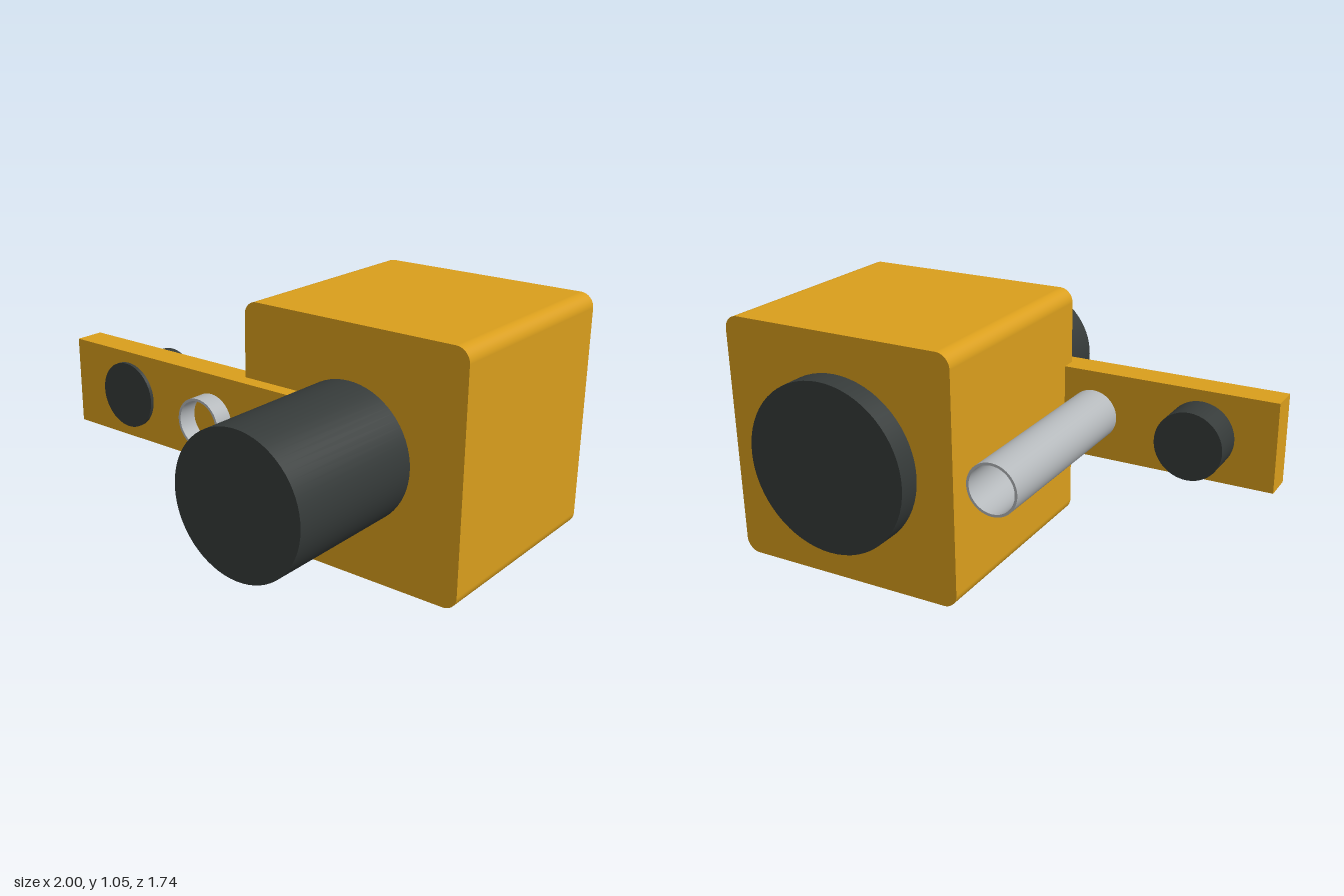
import * as THREE from 'three';

const yellow = new THREE.MeshStandardMaterial({ color: 0xd99e1c });
const dark = new THREE.MeshStandardMaterial({ color: 0x353a39 });
const metal = new THREE.MeshStandardMaterial({ color: 0xb4b8bb });
const AXIS_Y = 0.525; // shared height of all the round parts

function add(group, name, geometry, material, x, y, z) {
  const mesh = new THREE.Mesh(geometry, material);
  mesh.name = name;
  mesh.position.set(x, y, z);
  group.add(mesh);
}

// Solid cylinder along z, from z0 to z1
function addCylinder(group, name, radius, x, z0, z1) {
  const geometry = new THREE.CylinderGeometry(radius, radius, z1 - z0, 64).rotateX(Math.PI / 2);
  add(group, name, geometry, dark, x, AXIS_Y, (z0 + z1) / 2);
}

// Rectangle centred on the origin with rounded corners
function roundedSquare(w, h, r) {
  const s = new THREE.Shape();
  const x = w / 2 - r, y = h / 2 - r;
  s.absarc(x, y, r, 0, Math.PI / 2);
  s.absarc(-x, y, r, Math.PI / 2, Math.PI);
  s.absarc(-x, -y, r, Math.PI, Math.PI * 1.5);
  s.absarc(x, -y, r, Math.PI * 1.5, Math.PI * 2);
  s.closePath();
  return s;
}

export function createModel() {
  const model = new THREE.Group();
  model.name = 'cameraRig';

  // Housing with edges rounded along its depth
  const housing = new THREE.ExtrudeGeometry(roundedSquare(1.046, 1.046, 0.06), {
    depth: 0.98, bevelEnabled: false, curveSegments: 12,
  });
  add(model, 'housing', housing, yellow, 0.476, AXIS_Y, -0.77);

  // Front barrel and rear cap
  addCylinder(model, 'frontBarrel', 0.293, 0.475, 0.2, 0.868);
  addCylinder(model, 'rearCap', 0.36, 0.475, -0.868, -0.76);

  // Side arm, half sunk into the housing's front
  add(model, 'sideArm', new THREE.BoxGeometry(1.255, 0.392, 0.13), yellow, -0.3725, AXIS_Y, 0.209);

  // Short plug through the arm
  addCylinder(model, 'armPlug', 0.147, -0.675, 0, 0.29);

  // Open thin-walled tube through the arm
  const tubeShape = new THREE.Shape().absarc(0, 0, 0.11, 0, Math.PI * 2);
  tubeShape.holes.push(new THREE.Path().absarc(0, 0, 0.099, 0, Math.PI * 2, true));
  const tube = new THREE.ExtrudeGeometry(tubeShape, {
    depth: 1.08, bevelEnabled: false, curveSegments: 48,
  });
  add(model, 'guideTube', tube, metal, -0.184, AXIS_Y, -0.722);

  // Smooth the rounded sides; flat walls keep their own normals
  for (const [name, cx, cy, r] of [['housing', 0.463, 0.463, 0.06], ['guideTube', 0, 0, 0.11]]) {
    const g = model.getObjectByName(name).geometry;
    const p = g.attributes.position, n = g.attributes.normal, v = new THREE.Vector3();
    for (let i = 0; i < p.count; i++) {
      if (Math.abs(n.getZ(i)) > 0.5) continue;
      v.set(p.getX(i), p.getY(i), 0);
      v.x -= THREE.MathUtils.clamp(v.x, -cx, cx);
      v.y -= THREE.MathUtils.clamp(v.y, -cy, cy);
      if (v.lengthSq() < r * r * 0.25) continue;
      v.normalize();
      if (v.x * n.getX(i) + v.y * n.getY(i) < 0) v.negate();
      n.setXYZ(i, v.x, v.y, 0);
    }
  }
  return model;
}
